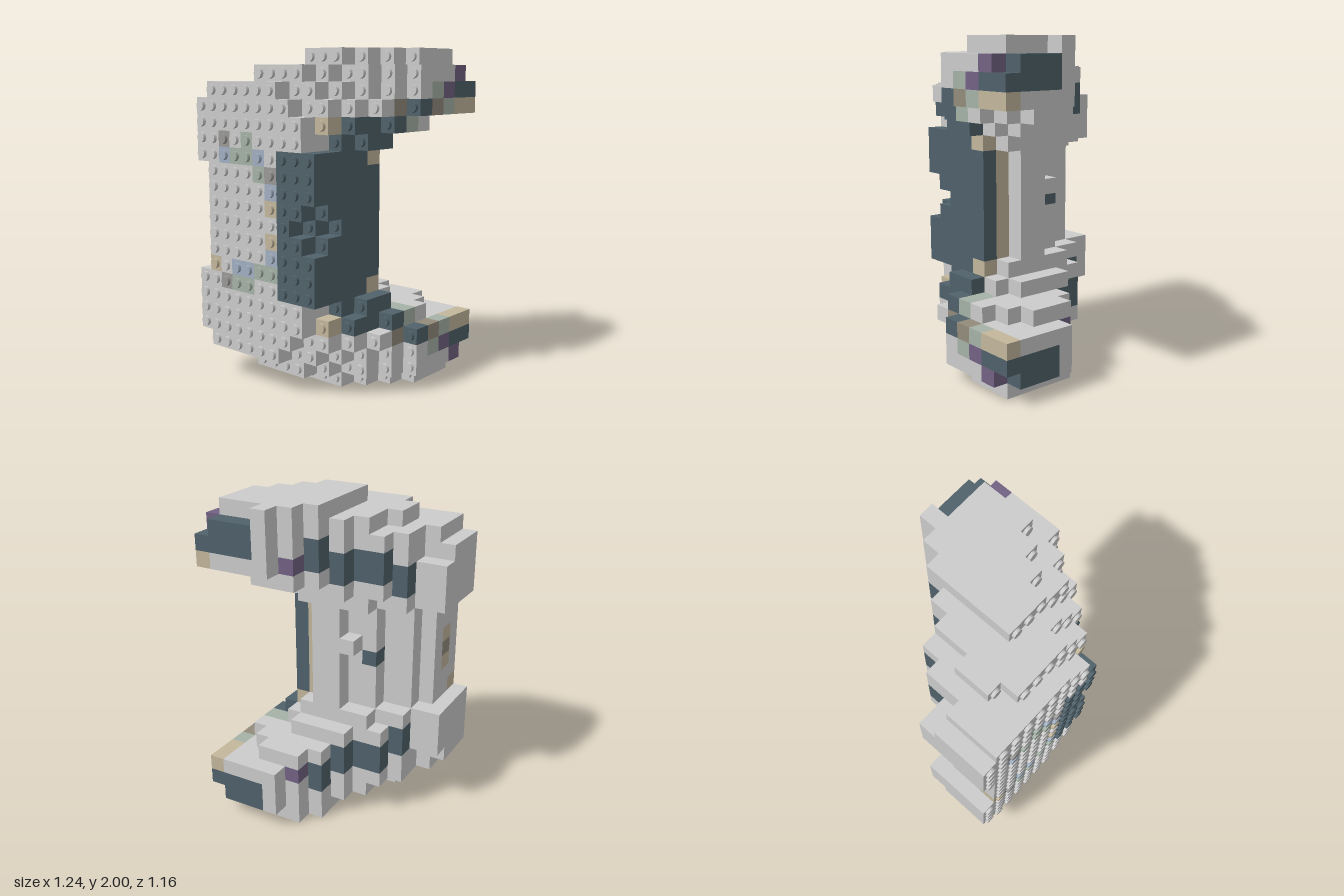
import * as THREE from 'three';
import { mergeGeometries } from 'three/addons/utils/BufferGeometryUtils.js';

const S = 2 / 21;        // brick width and height
const D = 0.1143;        // brick depth
const COLS = 13, ROWS = 21, LAYERS = 10;

// First and last filled layer per column; layer 0 is the front.
// Listed from the middle row outward; the lower half mirrors the upper.
const MIDDLE = ['.000000000...', '.233445544...'];
const ARM = {
  14: ['0000000000...', '3344555554...'],
  15: ['00000000023..', '33455666654..'],
  16: ['000000000124.', '334556788876.'],
  17: ['0000000011235', '2245567899999'],
  18: ['.000000112345', '.245567899999'],
  19: ['...2111123345', '...3567899998'],
  20: ['......333456.', '......789888.'],
};

const COLORS = {
  grey: 0xcccccc, dark: 0x50626b, tan: 0xc3b79c, green: 0xa5b2a6,
  blue: 0xa1afc1, purple: 0x736284, stone: 0x9b9998, brown: 0x938c7c,
};

// Single coloured bricks on the front, keyed "column,row"
const FRONT_PATCHES = {
  '2,15': 'stone', '4,15': 'green', '2,14': 'blue', '3,14': 'green', '4,14': 'green',
  '5,14': 'blue', '5,13': 'green', '6,13': 'stone', '6,12': 'blue', '6,11': 'tan',
  '6,9': 'tan', '6,8': 'blue', '6,7': 'green', '5,7': 'green', '4,7': 'blue',
  '3,7': 'blue', '1,7': 'tan', '2,6': 'stone', '3,6': 'green', '4,6': 'green',
};

const mirrorRow = (r) => Math.max(r, 20 - r);

function filled(c, r, k) {
  if (c < 0 || c >= COLS || r < 0 || r >= ROWS || k < 0 || k >= LAYERS) return false;
  // notch in the front inner edge
  if (c === 9 && Math.abs(r - 10) <= 1 && k < (r === 10 ? 2 : 1)) return false;
  if (c === 8 && r === 10 && k === 0) return false;
  // lug on the back of the spine
  if (c === 5 && r === 11 && k === 5) return true;
  if (r === 0 && k === 9) return false;
  const [front, back] = ARM[mirrorRow(r)] || MIDDLE;
  return front[c] !== '.' && k >= +front[c] && k <= +back[c];
}

function colorOf(c, r, k) {
  const m = mirrorRow(r);
  if (k === 0 && FRONT_PATCHES[`${c},${r}`]) return FRONT_PATCHES[`${c},${r}`];
  // side patches on the spine
  if (c === 1 && k === 1 && m <= 11) return r === 10 ? 'brown' : 'tan';
  // inner edge of the spine
  if (m <= 14) {
    if (c === 8 && k === 4) return 'tan';
    if (c === 9 && k === 4 && m === 14) return 'tan';
    if (c >= 7 && k <= 4) return 'dark';
    if (c === 4 && k === 4 && r === 10) return 'dark';
  }
  // inner edges of the arms
  if (m === 15 && c >= 9 && k <= 4) return 'dark';
  if (m === 16) {
    if (c === 9 && k === 1) return 'tan';
    if (c >= 10 && k <= 4) return 'dark';
    if (c >= 10 && k === 5) return 'green';
  }
  if (m === 17) {
    if (c === 11 && k === 4) return 'brown';
    if (c === 12) return ['dark', 'brown', 'green', 'tan', 'tan'][k - 5];
    if (c === 7 && k === 8) return 'purple';
  }
  // tips of the arms
  if (m === 18 && c === 12 && k >= 6) return ['green', 'purple', 'dark', 'dark'][k - 6];
  if (m === 19 && c === 12 && k === 8) return 'purple';
  if ((m === 18 || m === 19) && k === 9 && c >= 9) return 'dark';
  // dark band stepping along the back of the arms
  const band = { 2: 15, 3: 16, 4: 16, 5: 16, 6: 17 }[c];
  if (band && (m === band || m === band + 1) && !filled(c, r, k + 1) && k >= 4) return 'dark';
  return 'grey';
}

export function createModel() {
  const group = new THREE.Group();
  const bricks = {}, studs = {};
  const add = (set, key, geo) => (set[key] = set[key] || []).push(geo);
  const xAt = (c) => (c - COLS / 2) * S;
  const zAt = (k) => 0.56 - k * D;

  for (let r = 0; r < ROWS; r++) {
    for (let k = 0; k < LAYERS; k++) {
      for (let c = 0; c < COLS;) {
        if (!filled(c, r, k)) { c++; continue; }
        // join neighbours of one colour into one long brick
        const color = colorOf(c, r, k);
        const start = c;
        while (filled(c, r, k) && colorOf(c, r, k) === color) {
          // a stud on each exposed front
          if (!filled(c, r, k - 1)) {
            const stud = new THREE.CylinderGeometry(0.03, 0.03, 0.02, 16);
            stud.rotateX(Math.PI / 2);
            stud.translate(xAt(c + 0.5), (r + 0.5) * S, zAt(k) + 0.01);
            add(studs, color, stud);
          }
          c++;
        }
        const box = new THREE.BoxGeometry((c - start) * S, S, D);
        box.translate(xAt((start + c) / 2), (r + 0.5) * S, zAt(k + 0.5));
        add(bricks, color, box);
      }
    }
  }

  for (const [set, part] of [[bricks, 'Bricks'], [studs, 'Studs']]) {
    for (const [color, geos] of Object.entries(set)) {
      const material = new THREE.MeshStandardMaterial({ color: COLORS[color] });
      const mesh = new THREE.Mesh(mergeGeometries(geos), material);
      mesh.name = color + part;
      group.add(mesh);
    }
  }
  return group;
}
